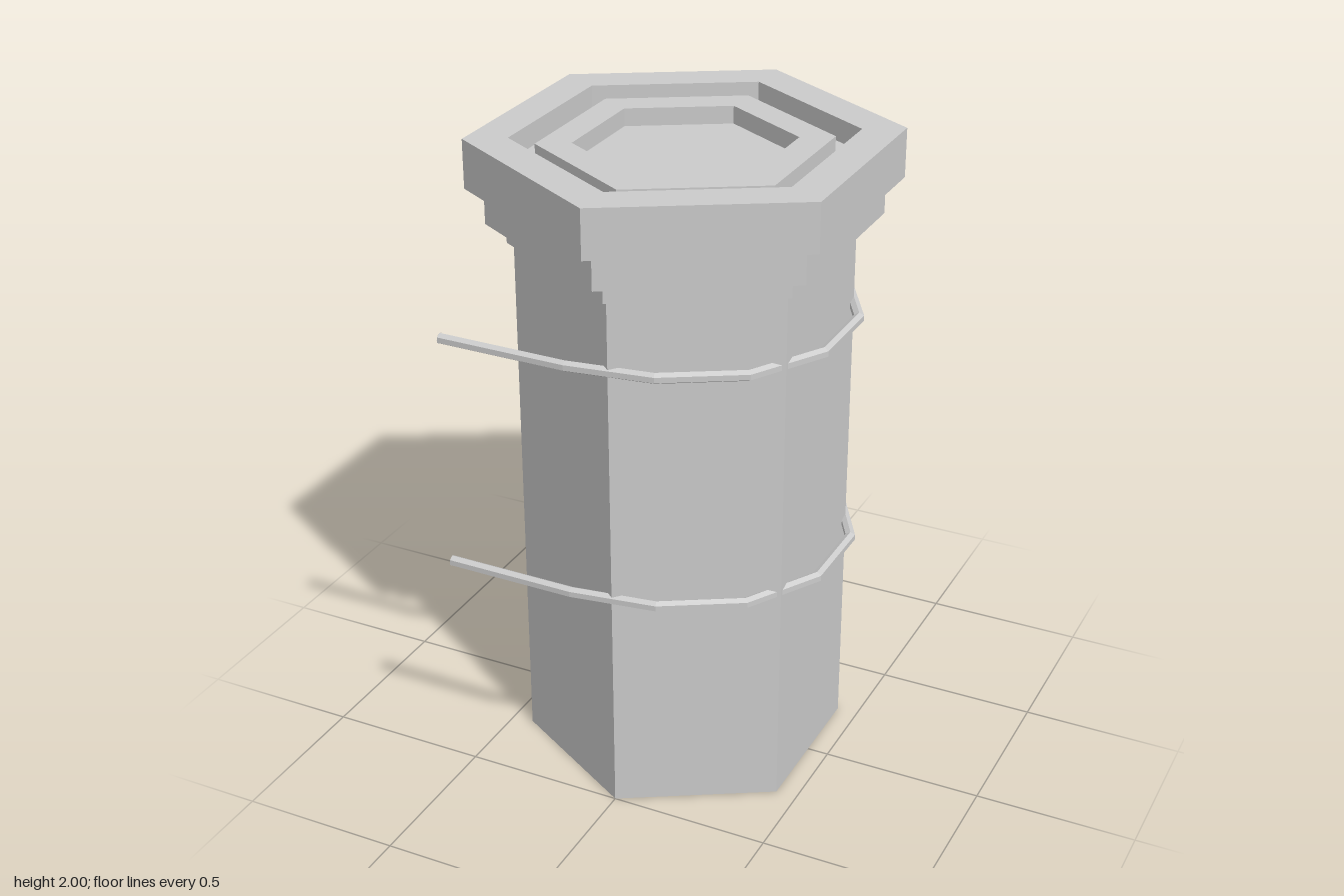
import * as THREE from 'three';

const material = new THREE.MeshStandardMaterial({ color: 0xcccccc, flatShading: true, side: THREE.DoubleSide });

function addMesh(parent, name, geometry) {
  const mesh = new THREE.Mesh(geometry, material);
  mesh.name = name;
  parent.add(mesh);
  return mesh;
}

// Six-sided turned form with corners on +z and -z, from [radius, y] pairs
function hexLathe(profile) {
  return new THREE.LatheGeometry(profile.map(([r, y]) => new THREE.Vector2(r, y)), 6);
}

// U-shaped rod hugging the shaft, with both ends pointing to -x
function rodCurve() {
  const points = [new THREE.Vector3(-0.54, 0, 0.505), new THREE.Vector3(-0.13, 0, 0.508)];
  for (let angle = 75; angle >= -75; angle -= 30) {
    const a = THREE.MathUtils.degToRad(angle);
    points.push(new THREE.Vector3(0.507 * Math.cos(a), 0, -0.02 + 0.507 * Math.sin(a)));
  }
  points.push(new THREE.Vector3(-0.13, 0, -0.546), new THREE.Vector3(-0.54, 0, -0.549));
  const curve = new THREE.CatmullRomCurve3(points);
  // Sample exactly at the bend points to keep the rod faceted
  curve.getPointAt = curve.getPoint;
  curve.getTangentAt = curve.getTangent;
  return curve;
}

export function createModel() {
  const model = new THREE.Group();
  model.name = 'hexagonalPillar';

  // Hollow shaft, open at the foot
  addMesh(model, 'shaft', hexLathe([[0.5, 0], [0.5, 1.68]]));

  // Stepped capital with a sunken top and a raised inner ring
  addMesh(model, 'capital', hexLathe([
    [0.5, 1.68], [0.52, 1.68], [0.52, 1.74], [0.58, 1.74], [0.58, 1.85],
    [0.635, 1.85], [0.635, 2], [0.505, 2], [0.505, 1.93],
    [0.43, 1.93], [0.43, 1.98], [0.325, 1.98], [0.325, 1.925], [0, 1.925],
  ]));

  // Two bent rods around the shaft
  const curve = rodCurve();
  const radius = 0.017;
  [['lowerRod', 0.718], ['upperRod', 1.46]].forEach(([name, y]) => {
    const rod = new THREE.Group();
    rod.name = name;
    rod.position.y = y;
    addMesh(rod, 'bentRod', new THREE.TubeGeometry(curve, curve.points.length - 1, radius, 6));
    for (const end of [curve.points[0], curve.points[curve.points.length - 1]]) {
      const cap = addMesh(rod, 'rodEnd', new THREE.CircleGeometry(radius, 6));
      cap.position.copy(end);
      cap.rotation.y = -Math.PI / 2;
    }
    model.add(rod);
  });

  return model;
}
